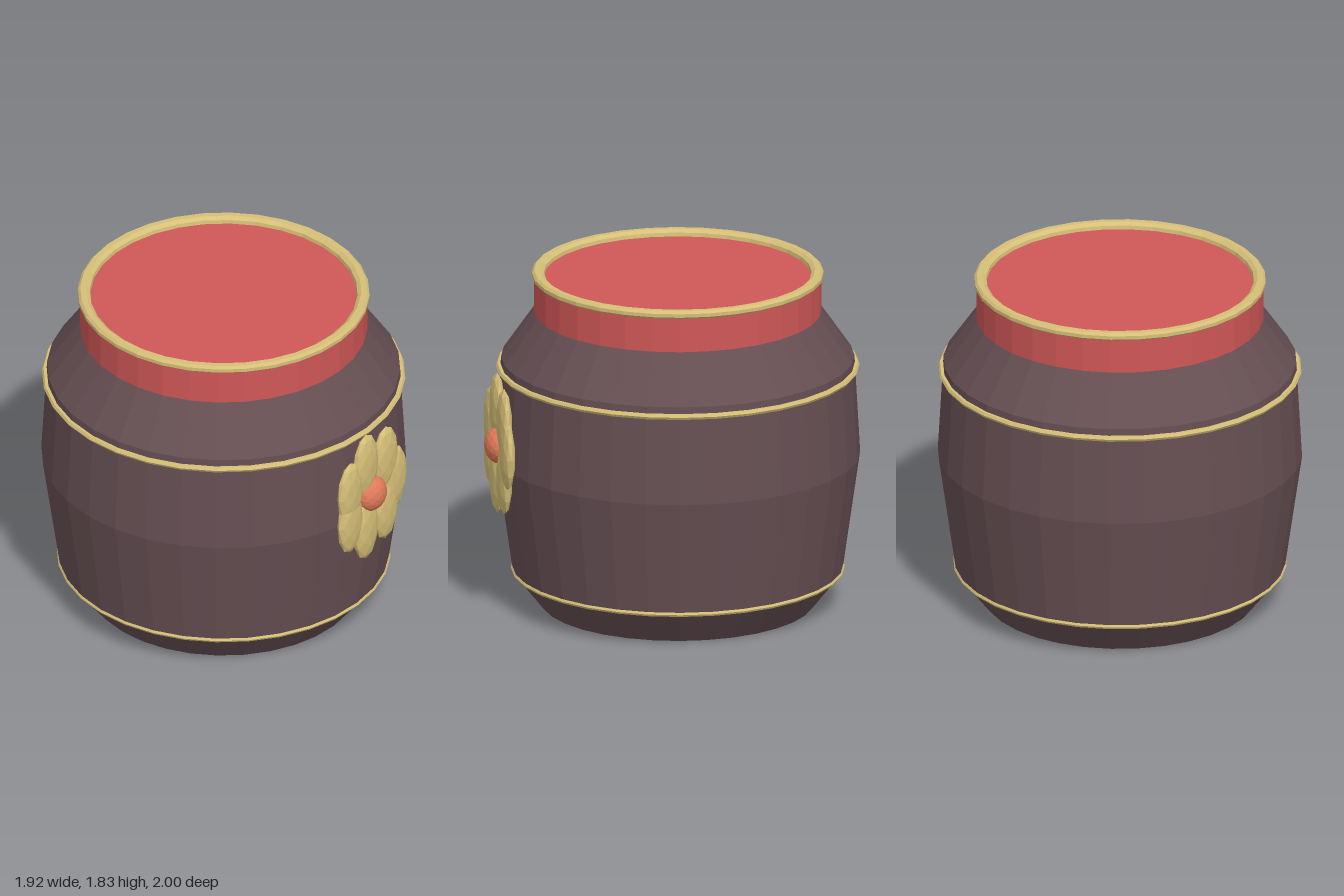
import * as THREE from 'three';

const SEGMENTS = 32;
const AXIS_Z = -0.04; // jar axis, offset so the front ornament fits

const material = (color) => new THREE.MeshStandardMaterial({ color, flatShading: true });

export function createModel() {
  const model = new THREE.Group();
  const clay = material(0x664f53);
  const red = material(0xd05757);
  const gold = material(0xd6bf78);
  const orange = material(0xe07a58);

  const add = (parent, name, geometry, mat) => {
    const mesh = new THREE.Mesh(geometry, mat);
    mesh.name = name;
    parent.add(mesh);
    return mesh;
  };
  const lathe = (points) =>
    new THREE.LatheGeometry(points.map(([r, y]) => new THREE.Vector2(r, y)), SEGMENTS);

  const jar = new THREE.Group();
  jar.name = 'jar';
  jar.position.z = AXIS_Z;
  model.add(jar);

  // Faceted clay body with a closed base
  add(jar, 'body', lathe([
    [0, 0.01], [0.72, 0.01], [0.87, 0.2], [0.96, 0.83], [0.93, 1.36], [0.757, 1.61],
  ]), clay);

  // Red neck, closed by a flat lid just below the rim
  add(jar, 'neck', lathe([[0.757, 1.61], [0.757, 1.8], [0, 1.8]]), red);

  // Bevelled gold rim
  add(jar, 'rim', lathe([
    [0.7, 1.79], [0.752, 1.79], [0.768, 1.803], [0.768, 1.822],
    [0.755, 1.835], [0.725, 1.835], [0.705, 1.82], [0.7, 1.79],
  ]), gold);

  // Thin gold bands around the shoulder and foot
  for (const [name, radius, y, tube] of [
    ['shoulderBand', 0.941, 1.31, 0.016],
    ['footBand', 0.866, 0.2, 0.013],
  ]) {
    const band = add(jar, name, new THREE.TorusGeometry(radius, tube, 6, SEGMENTS), gold);
    band.rotation.x = Math.PI / 2;
    band.position.y = y;
  }

  // Flower ornament: seven upright petals around a round centre
  const flower = new THREE.Group();
  flower.name = 'flower';
  flower.position.set(0, 0.93, 0.922);
  model.add(flower);

  const petalCount = 7;
  for (let i = 0; i < petalCount; i++) {
    const angle = (i / petalCount) * Math.PI * 2;
    const petal = add(flower, 'petal', new THREE.IcosahedronGeometry(1, 1), gold);
    petal.scale.set(0.1, 0.19, 0.038);
    petal.position.set(0.205 * Math.cos(angle), 0.2 * Math.sin(angle), 0);
  }
  const centre = add(flower, 'flowerCentre', new THREE.IcosahedronGeometry(1, 2), orange);
  centre.scale.set(0.1, 0.1, 0.078);

  return model;
}
